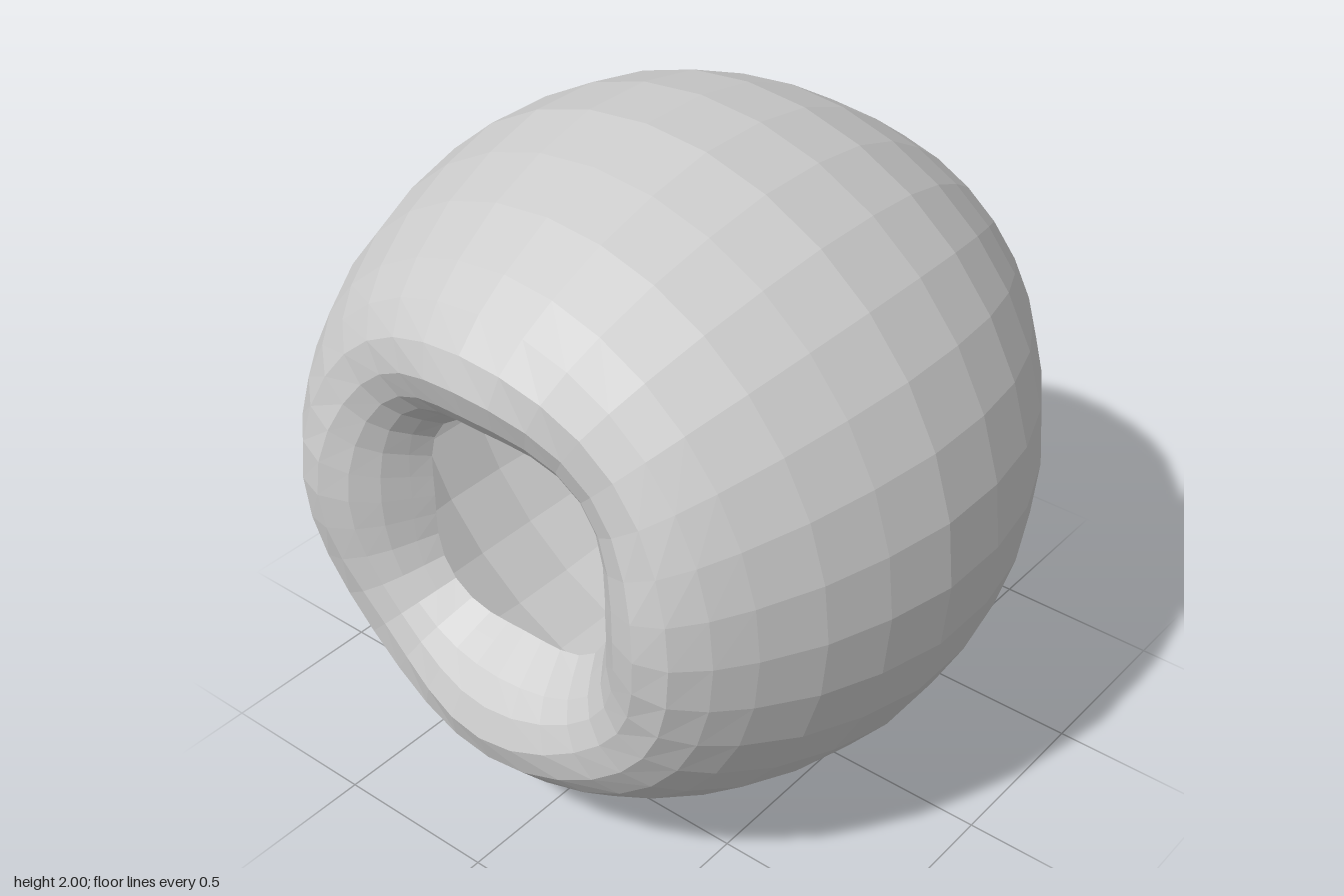
import * as THREE from 'three';

// Profile from the back dimple, over the body, to the front opening:
// [radius, z, lobe in z, lobe in radius]; lobes repeat four times around.
const PROFILE = [
  [0, -0.68, 0, 0], [0.08, -0.69, 0, 0], [0.14, -0.74, 0, 0], [0.175, -0.81, 0, 0],
  [0.2, -0.87, -0.01, -0.01], [0.24, -0.915, -0.02, -0.01], [0.3, -0.932, -0.028, 0],
  [0.37, -0.927, -0.023, 0], [0.45, -0.91, -0.012, 0], [0.53, -0.875, -0.005, 0],
  [0.63, -0.79, 0, 0], [0.765, -0.6, 0, 0], [0.885, -0.4, 0, 0], [0.965, -0.2, 0, 0],
  [1, 0, 0, 0], [1, 0.22, 0, 0], [0.955, 0.42, 0, 0], [0.89, 0.6, 0, 0],
  [0.8, 0.76, 0, 0], [0.73, 0.85, 0.005, 0], [0.65, 0.915, 0.015, 0],
  [0.56, 0.935, 0.025, 0], [0.48, 0.91, 0.02, -0.01], [0.42, 0.865, 0.01, -0.02],
  [0.375, 0.81, 0, -0.025], [0.337, 0.76, 0, -0.025],
];

export function createModel() {
  const group = new THREE.Group();
  group.name = 'hollowFruit';

  // Revolve the profile about z
  const segments = 32;
  const geometry = new THREE.LatheGeometry(
    PROFILE.map(([r, z]) => new THREE.Vector2(r, z)), segments);
  geometry.rotateX(Math.PI / 2);

  // Four soft lobes make the rims squarish and lower at their corners
  const pos = geometry.attributes.position;
  for (let i = 0; i < pos.count; i++) {
    const [r, z, lobeZ, lobeR] = PROFILE[i % PROFILE.length];
    const angle = Math.floor(i / PROFILE.length) / segments * Math.PI * 2;
    const wave = Math.cos(4 * angle);
    const radius = r + lobeR * wave;
    pos.setXYZ(i, radius * Math.sin(angle), 1 - radius * Math.cos(angle), z + lobeZ * wave);
  }
  geometry.computeVertexNormals();

  // Thin open shell, visible inside through the front opening
  const shell = new THREE.Mesh(geometry, new THREE.MeshStandardMaterial({
    color: 0xcccccc, flatShading: true, side: THREE.DoubleSide,
  }));
  shell.name = 'shell';
  group.add(shell);
  return group;
}
